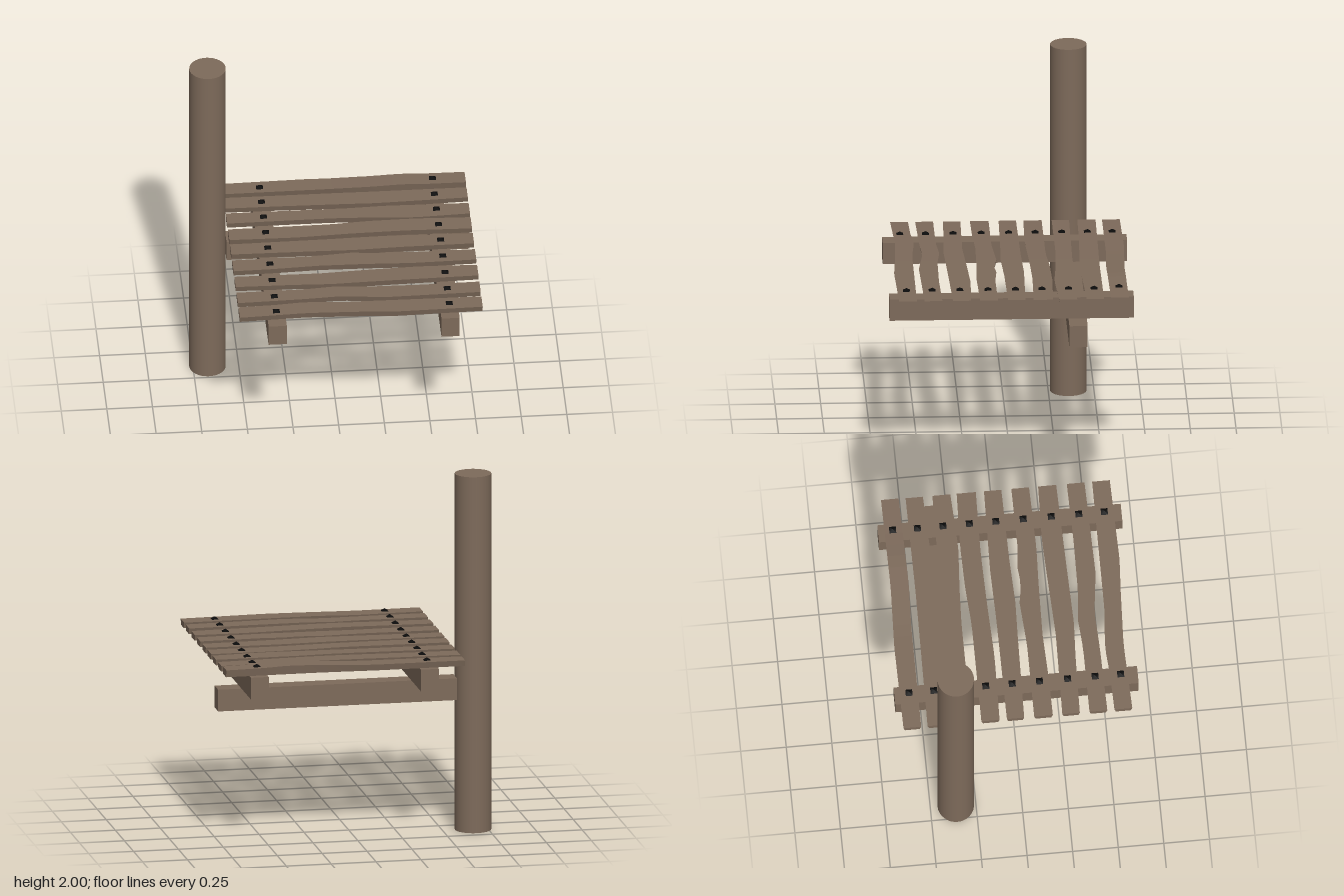
import * as THREE from 'three';

const wood = new THREE.MeshStandardMaterial({ color: 0x7d6a5a });
wood.name = 'weathered wood';
const iron = new THREE.MeshStandardMaterial({ color: 0x0a0a0a });
iron.name = 'black iron';

const X0 = -0.57, X1 = 0.76, BOTTOM = 0.985, TOP = 1.018;
const bearerX = [-0.367, 0.58];

// Linear interpolation along a list of [x, value] points
function along(points, x) {
  for (let i = 1; i < points.length; i++) {
    const [xa, a] = points[i - 1], [xb, b] = points[i];
    if (x <= xb) return a + (b - a) * Math.max(0, (x - xa) / (xb - xa));
  }
  return points[points.length - 1][1];
}

// Rough-sawn plank: four-cornered sections, slightly narrower underneath
function plankGeometry(back, front, top) {
  const steps = 20, pos = [], idx = [];
  for (let i = 0; i <= steps; i++) {
    const x = X0 + (X1 - X0) * i / steps;
    const b = along(back, x), f = along(front, x), t = along(top, x);
    pos.push(x, t, b, x, t, f, x, BOTTOM, f - 0.008, x, BOTTOM, b + 0.008);
  }
  for (let i = 0; i < steps; i++) {
    for (let k = 0; k < 4; k++) {
      const a = i * 4 + k, b = i * 4 + (k + 1) % 4;
      idx.push(a, b, b + 4, a, b + 4, a + 4);
    }
  }
  const e = steps * 4;
  idx.push(0, 2, 1, 0, 3, 2, e, e + 1, e + 2, e, e + 2, e + 3);
  const g = new THREE.BufferGeometry();
  g.setAttribute('position', new THREE.Float32BufferAttribute(pos, 3));
  g.setIndex(idx);
  const flat = g.toNonIndexed();
  flat.computeVertexNormals();
  return flat;
}

export function createModel() {
  const model = new THREE.Group();
  model.name = 'platform';

  const add = (name, geometry, material, x, y, z) => {
    const mesh = new THREE.Mesh(geometry, material);
    mesh.name = name;
    mesh.position.set(x, y, z);
    model.add(mesh);
    return mesh;
  };

  // Upright pole, cross beam and the two bearers on it
  add('pole', new THREE.CylinderGeometry(0.1, 0.1, 2, 32), wood, -0.67, 1, -0.36);
  add('crossBeam', new THREE.BoxGeometry(1.33, 0.122, 0.1), wood, 0.095, 0.802, -0.36);
  for (const x of bearerX) {
    add('bearer', new THREE.BoxGeometry(0.1, 0.122, 1.335), wood, x, 0.924, 0);
  }

  // Low pyramid nail heads, square to the planks
  const nail = new THREE.ConeGeometry(0.02 * Math.SQRT2, 0.016, 4);
  nail.rotateY(Math.PI / 4);

  const level = [[X0, TOP], [0.1, TOP + 0.003], [X1, TOP]];
  const addPlank = (nailZ, back, front, top = level) => {
    add('plank', plankGeometry(back, front, top), wood, 0, 0, 0);
    for (const x of bearerX) add('nail', nail, iron, x, along(top, x) + 0.007, nailZ);
  };

  // Planks from back to front: nail line, back edge, front edge, top height
  addPlank(-0.588, [[X0, -0.637], [-0.1, -0.643], [0.25, -0.63], [X1, -0.635]],
    [[X0, -0.54], [0, -0.54], [0.25, -0.53], [X1, -0.538]],
    [[X0, TOP], [0, 1.02], [0.2, 1.028], [0.4, 1.035], [0.55, 1.028], [X1, 1.025]]);
  addPlank(-0.452, [[X0, -0.505], [0.2, -0.497], [X1, -0.5]],
    [[X0, -0.405], [-0.3, -0.402], [0.25, -0.388], [X1, -0.405]]);
  addPlank(-0.312, [[X0, -0.36], [0.1, -0.352], [0.3, -0.36], [X1, -0.353]],
    [[X0, -0.265], [0, -0.265], [0.2, -0.257], [0.45, -0.24], [X1, -0.255]]);
  addPlank(-0.167, [[X0, -0.21], [0, -0.21], [0.2, -0.225], [0.45, -0.23], [X1, -0.22]],
    [[X0, -0.11], [-0.2, -0.103], [0.1, -0.115], [0.4, -0.122], [X1, -0.115]]);
  addPlank(-0.022, [[X0, -0.07], [0, -0.073], [0.3, -0.08], [X1, -0.07]],
    [[X0, 0.025], [-0.1, 0.034], [0.1, 0.04], [0.35, 0.03], [X1, 0.025]]);
  addPlank(0.128, [[X0, 0.08], [-0.15, 0.08], [0.1, 0.062], [0.2, 0.081], [0.3, 0.07], [0.42, 0.082], [X1, 0.08]],
    [[X0, 0.182], [-0.35, 0.18], [-0.1, 0.17], [0.2, 0.176], [0.4, 0.184], [X1, 0.177]]);
  addPlank(0.282, [[X0, 0.234], [-0.1, 0.242], [0.2, 0.228], [0.45, 0.218], [X1, 0.227]],
    [[X0, 0.33], [-0.25, 0.337], [-0.05, 0.347], [0.3, 0.337], [X1, 0.326]]);
  addPlank(0.433, [[X0, 0.383], [-0.2, 0.383], [-0.03, 0.37], [0.12, 0.386], [0.43, 0.39], [X1, 0.384]],
    [[X0, 0.481], [-0.2, 0.474], [0, 0.464], [0.23, 0.492], [X1, 0.481]]);
  addPlank(0.573, [[X0, 0.52], [-0.37, 0.515], [-0.2, 0.502], [0, 0.52], [X1, 0.523]],
    [[X0, 0.618], [-0.2, 0.605], [0.1, 0.618], [0.3, 0.63], [X1, 0.62]]);

  return model;
}
